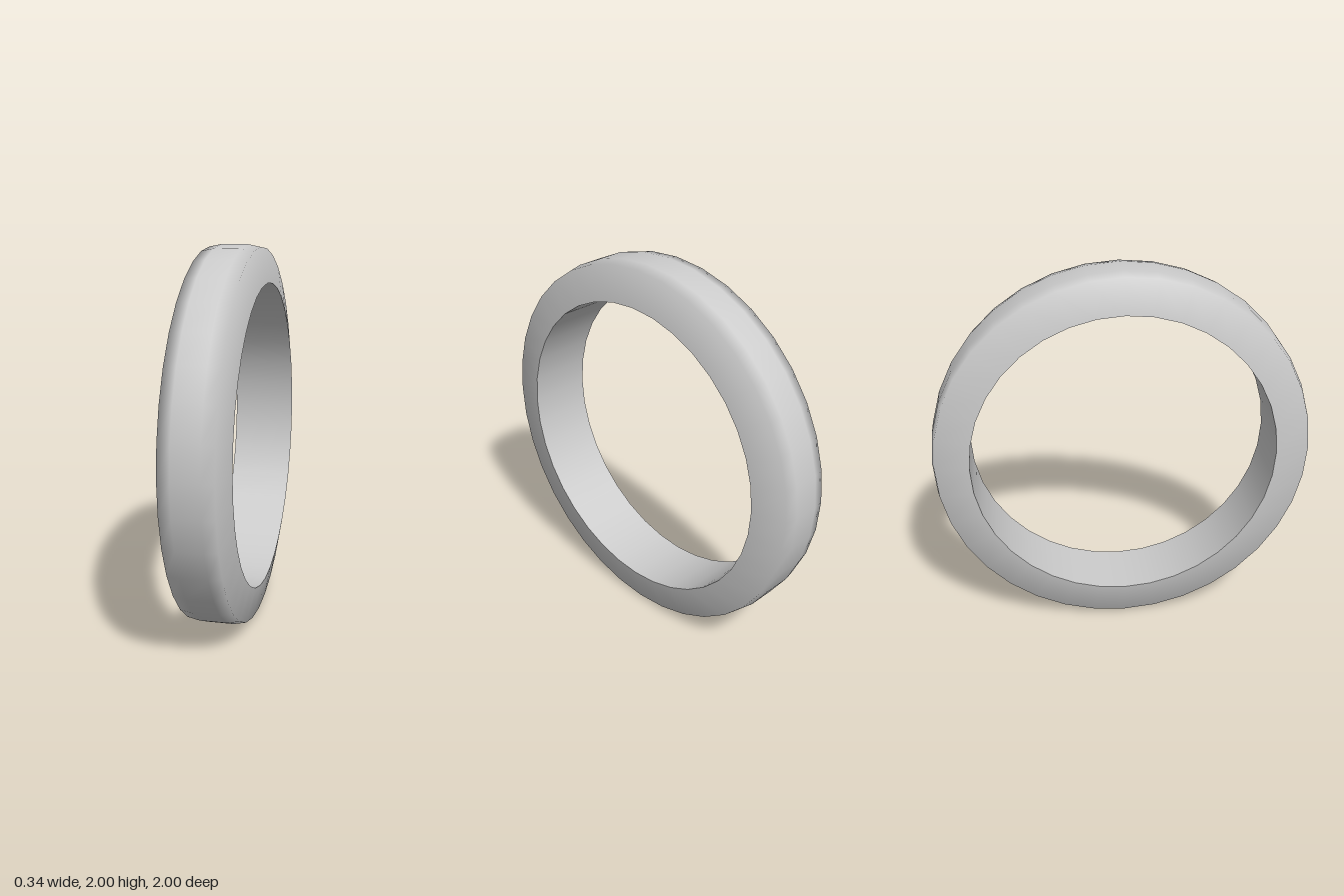
import * as THREE from 'three';

export function createModel() {
  const model = new THREE.Group();
  model.name = 'ring';
  const material = new THREE.MeshStandardMaterial({ color: 0xcccccc });
  const segments = 36;

  // Revolve a [radius, offset along x] profile around the x axis
  function addBand(name, profile) {
    const points = profile.map(([r, x]) => new THREE.Vector2(r, x));
    const geometry = new THREE.LatheGeometry(points, segments);
    geometry.rotateZ(-Math.PI / 2);
    const mesh = new THREE.Mesh(geometry, material);
    mesh.name = name;
    mesh.position.y = 1;
    model.add(mesh);
  }

  // Tapered sides and softly crowned outer face, smooth throughout
  const half = [[1, 0.07], [0.987, 0.135], [0.805, 0.172]];
  const mirrored = half.map(([r, x]) => [r, -x]).reverse();
  addBand('outerBand', [...mirrored, ...half]);

  // Straight inner wall facing the axis, with a crisp edge to the sides
  addBand('innerBand', [[0.805, 0.172], [0.805, -0.172]]);

  return model;
}
